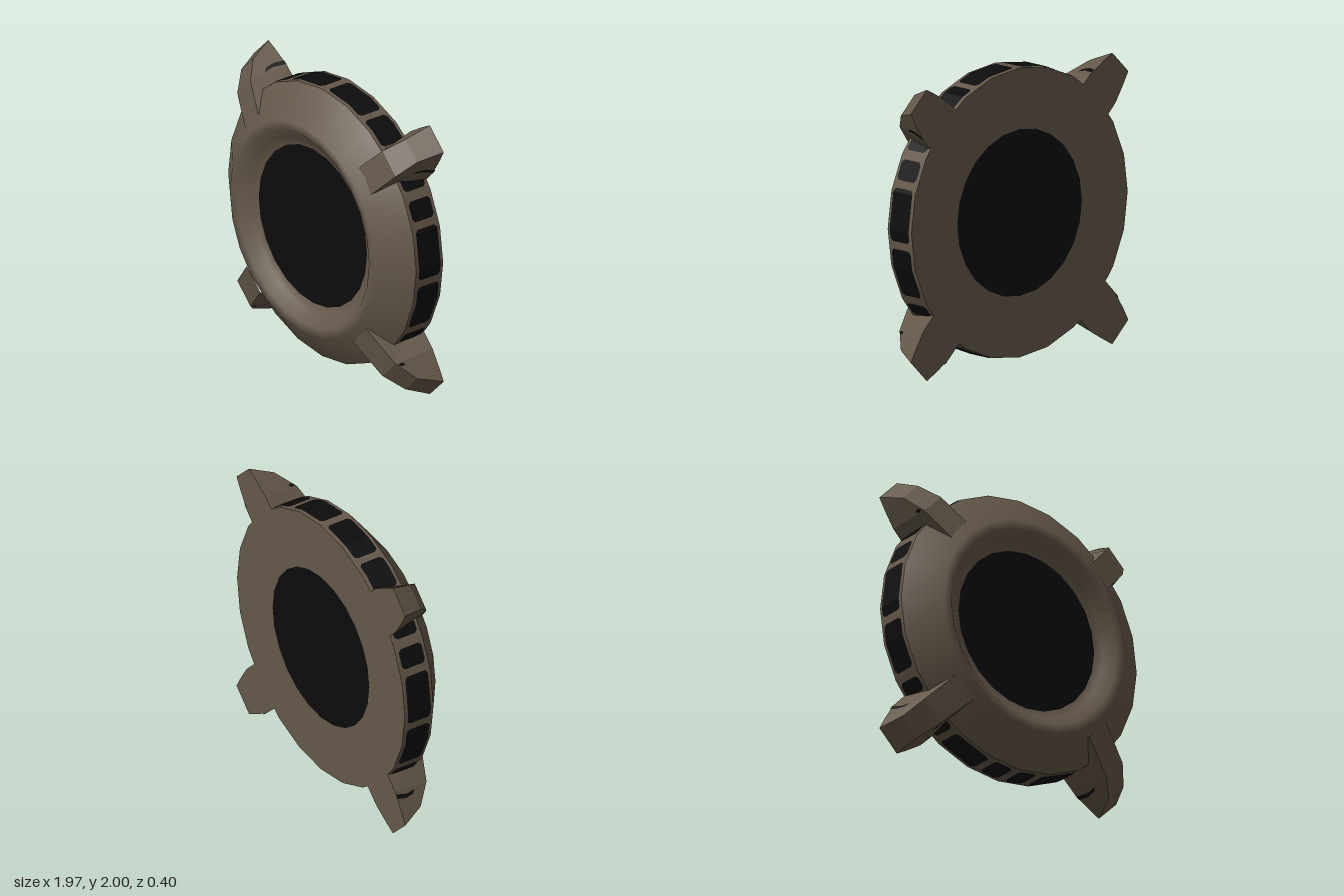
import * as THREE from 'three';

const SIDES = 24, RIM = 0.98, BACK = -0.2;
const RING_Y = 1.02, LUG_Y = 0.99;

// Surface of revolution about z; profile points are [radius, z]
function turned(points, material, name) {
  const geo = new THREE.LatheGeometry(points.map(([r, z]) => new THREE.Vector2(r, z)), SIDES);
  geo.rotateX(Math.PI / 2);
  const mesh = new THREE.Mesh(geo, material);
  mesh.name = name;
  return mesh;
}

// Point on the faceted rim, angle in degrees from +x towards +y
function rimPoint(deg, z) {
  const step = 360 / SIDES, half = step / 2;
  const local = ((deg % step) + step) % step - half;
  const rad = THREE.MathUtils.degToRad;
  const r = 0.004 + RIM * Math.cos(rad(half)) / Math.cos(rad(local));
  return [r * Math.cos(rad(deg)), r * Math.sin(rad(deg)), z];
}

function flatGeometry(positions) {
  const geo = new THREE.BufferGeometry();
  geo.setAttribute('position', new THREE.Float32BufferAttribute(positions, 3));
  geo.computeVertexNormals();
  return geo;
}

// Rim panel with clipped corners, wrapped over the facets
function rimPanel(start, end) {
  const z0 = -0.175, z1 = 0.007, clip = 0.02, cut = 1.2;
  const stops = [start, start + cut, end - cut, end];
  for (let a = -360; a <= 360; a += 360 / SIDES) if (a > start + cut && a < end - cut) stops.push(a);
  stops.sort((a, b) => a - b);
  const pos = [];
  for (let i = 0; i < stops.length - 1; i++) {
    const inset = (a) => (a === start || a === end ? clip : 0);
    const [a, b] = [stops[i], stops[i + 1]];
    const p = [rimPoint(a, z0 + inset(a)), rimPoint(b, z0 + inset(b)),
      rimPoint(b, z1 - inset(b)), rimPoint(a, z1 - inset(a))];
    for (const k of [0, 1, 2, 0, 2, 3]) pos.push(...p[k]);
  }
  return flatGeometry(pos);
}

// Lug sections along its length: [radius, front z, front half width, back half width]
const LUG = [
  [0.78, 0.165, 0.1, 0.165],
  [1.07, 0.08, 0.097, 0.16],
  [1.21, -0.03, 0.087, 0.127],
  [1.292, BACK, 0.1025, 0.1025],
];

function lugGeometry() {
  const loops = LUG.map(([r, z, f, b]) => [[r, b, BACK], [r, f, z], [r, -f, z], [r, -b, BACK]]);
  const pos = [];
  for (let i = 0; i < loops.length - 1; i++) {
    for (let j = 0; j < 4; j++) {
      const k = (j + 1) % 4;
      const p = [loops[i][j], loops[i][k], loops[i + 1][k], loops[i + 1][j]];
      for (const n of [0, 1, 2, 0, 2, 3]) pos.push(...p[n]);
    }
  }
  return flatGeometry(pos);
}

// Dark patch on a lug flank; outline is [along 0..1, back-to-front 0..1]
function flankPatch(outline, side) {
  const geo = new THREE.ShapeGeometry(new THREE.Shape(outline.map(([u, t]) => new THREE.Vector2(u, t))));
  const pos = geo.attributes.position, mix = THREE.MathUtils.lerp;
  for (let i = 0; i < pos.count; i++) {
    const u = pos.getX(i), t = pos.getY(i);
    const [r, z, f, b] = LUG[1].map((v, k) => mix(v, LUG[2][k], u));
    pos.setXYZ(i, r + 0.003, side * (mix(b, f, t) + 0.004), mix(BACK, z, t));
  }
  geo.computeVertexNormals();
  return geo;
}

export function createModel() {
  const model = new THREE.Group();
  const bronze = new THREE.MeshStandardMaterial({ color: 0x64584a });
  bronze.name = 'dull bronze';
  const black = new THREE.MeshStandardMaterial({ color: 0x0c0c0c, side: THREE.DoubleSide });
  black.name = 'black';

  // Ring body and the dark centre
  const ring = new THREE.Group();
  ring.name = 'ring';
  ring.position.y = RING_Y;
  ring.add(
    turned([[RIM, BACK], [RIM, 0.03]], bronze, 'rim'),
    turned([[RIM, 0.03], [0.755, 0.2], [0.69, 0.195], [0.62, 0.13], [0.565, 0.11]], bronze, 'frontBevel'),
    turned([[0.565, BACK], [RIM, BACK]], bronze, 'backPlate'),
    turned([[0.565, 0.11], [0, 0.11]], black, 'frontDisc'),
    turned([[0, BACK], [0.565, BACK]], black, 'backDisc'),
  );

  // Rim panels: right half, mirrored to the left
  const panels = [
    [68.1, 88.2], [52, 65.3],
    [32, 38], [19.7, 28], [-4.4, 16.6], [-28, -7.6], [-38, -32],
    [-56.7, -52], [-76.7, -59.5], [-88.2, -79.9],
  ];
  for (const [a, b] of panels) {
    for (const [s, e] of [[a, b], [180 - b, 180 - a]]) {
      const panel = new THREE.Mesh(rimPanel(s, e), black);
      panel.name = 'rimPanel';
      ring.add(panel);
    }
  }
  model.add(ring);

  // Four diagonal lugs
  const lugShape = lugGeometry();
  const bigPatch = flankPatch([[0.08, 0], [0.3, 0], [0.38, 0.3], [0.3, 0.55], [0.12, 0.6], [0.2, 0.35]], -1);
  const smallPatch = flankPatch([[0.02, 0.84], [0.16, 0.82], [0.2, 0.95], [0.06, 0.98]], 1);
  for (let i = 0; i < 4; i++) {
    const lug = new THREE.Group();
    lug.name = 'lug';
    lug.position.y = LUG_Y;
    lug.rotation.z = Math.PI / 4 + i * Math.PI / 2;
    [[lugShape, bronze, 'lugBody'], [bigPatch, black, 'lugPatch'], [smallPatch, black, 'lugSpot']]
      .forEach(([geo, mat, name]) => {
        const mesh = new THREE.Mesh(geo, mat);
        mesh.name = name;
        lug.add(mesh);
      });
    model.add(lug);
  }
  return model;
}
